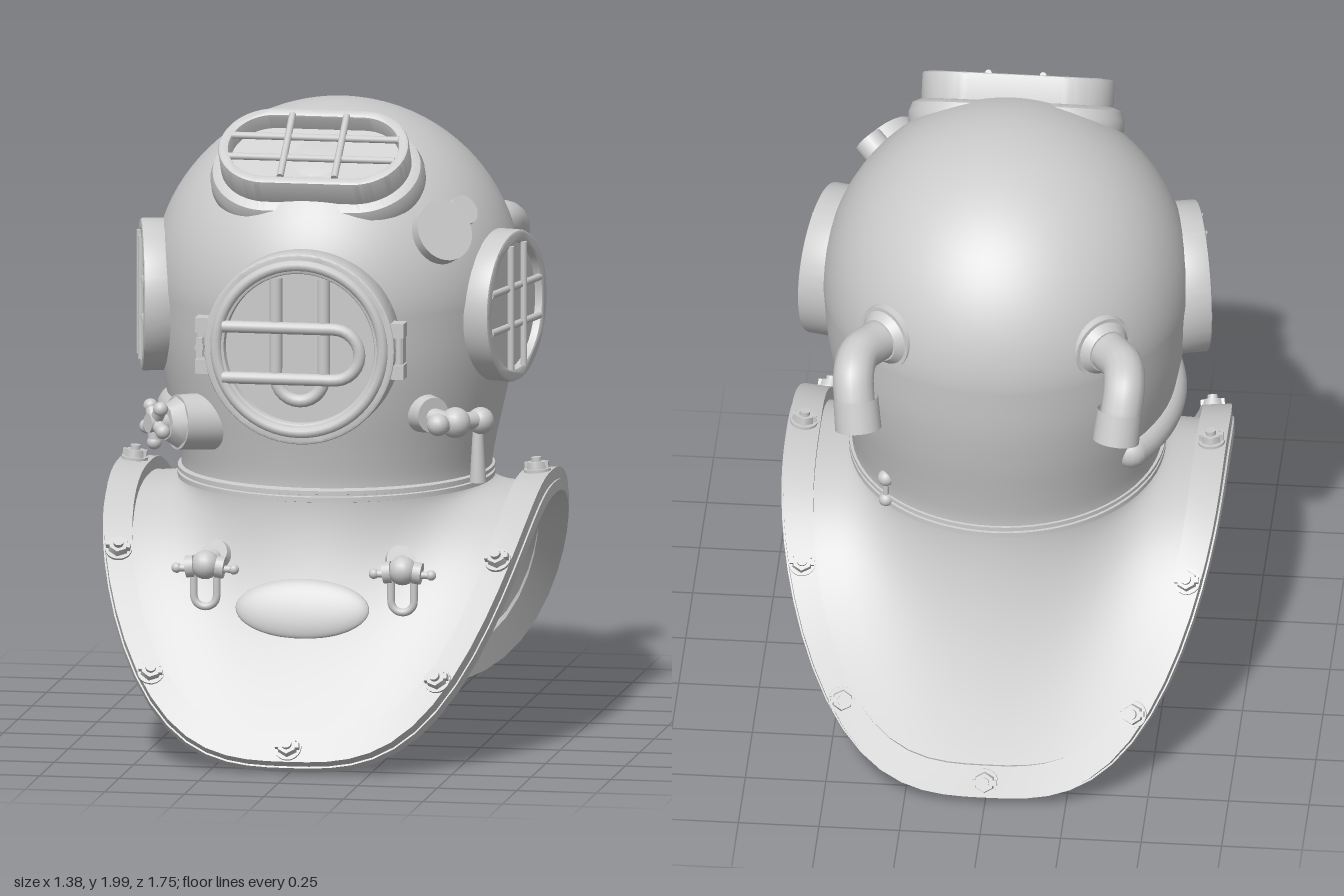
import * as THREE from 'three';
import { toCreasedNormals } from 'three/addons/utils/BufferGeometryUtils.js';
import { ParametricGeometry } from 'three/addons/geometries/ParametricGeometry.js';

const V = (x, y, z) => new THREE.Vector3(x, y, z);
const Y = V(0, 1, 0), Z = V(0, 0, 1);
const solid = new THREE.MeshStandardMaterial({ color: 0xcccccc });
const shell = new THREE.MeshStandardMaterial({ color: 0xcccccc, side: THREE.DoubleSide });

function add(parent, name, geo, pos = V(0, 0, 0), mat = solid) {
  const m = new THREE.Mesh(geo, mat);
  m.name = name;
  m.position.copy(pos);
  parent.add(m);
  return m;
}
function group(parent, name, pos = V(0, 0, 0), from = Y, to = from) {
  const g = new THREE.Group();
  g.name = name;
  g.position.copy(pos);
  g.quaternion.setFromUnitVectors(from, to.clone().normalize());
  parent.add(g);
  return g;
}
// Round bar between two points
function rod(parent, name, a, b, r0, r1 = r0, sides = 20) {
  const m = add(parent, name, new THREE.CylinderGeometry(r1, r0, a.distanceTo(b), sides), a.clone().lerp(b, 0.5));
  m.quaternion.setFromUnitVectors(Y, b.clone().sub(a).normalize());
  return m;
}
const ball = (parent, name, p, r) => add(parent, name, new THREE.SphereGeometry(r, 18, 12), p);
const tube = (parent, name, pts, r, mat = solid) =>
  add(parent, name, new THREE.TubeGeometry(new THREE.CatmullRomCurve3(pts), 48, r, 16), V(0, 0, 0), mat);

// Shoulder plate: each section bends from the neck ellipse out to the saddle-shaped rim
function plate(phi, t) {
  const c = Math.cos(phi), s = Math.sin(phi), n = 3.05;
  const rho = ((Math.abs(c) / 0.67) ** n + (Math.abs(s) / 0.81) ** n) ** (-1 / n);
  const yr = 0.8 - 0.76 * (Math.abs(rho * s) / 0.81) ** 2.35;
  const neck = V(0.48 * c, 0.82, 0.51 * s - 0.01);
  const bend = V(neck.x, 0.79 - 0.3 * (0.82 - yr), neck.z);
  return new THREE.QuadraticBezierCurve3(neck, bend, V(rho * c, yr, rho * s)).getPoint(t);
}
// Point, downhill direction and outward normal on the plate
function frame(phi, t) {
  const p = plate(phi, t), e = 0.01;
  const d = plate(phi, t).sub(plate(phi, t - 0.04)).normalize();
  const along = plate(phi + e, t).sub(plate(phi - e, t)).normalize();
  return { p, d, n: along.cross(d).normalize() };
}

// Circle (hx = 0) or stadium outline
function oblong(hx, r, Kind = THREE.Shape) {
  const s = new Kind();
  s.absarc(hx, 0, r, -Math.PI / 2, Math.PI / 2, false);
  s.absarc(-hx, 0, r, Math.PI / 2, Math.PI * 1.5, false);
  return s;
}
function slab(shape, depth, bevel, bevelDepth = bevel) {
  const g = new THREE.ExtrudeGeometry(shape, {
    depth, curveSegments: 28, bevelEnabled: bevel > 0, bevelSize: bevel,
    bevelThickness: bevelDepth, bevelOffset: -bevel, bevelSegments: 2,
  });
  return toCreasedNormals(g, 0.6);
}
// Port facing local +z, with its front face at z = 0
function port(parent, name, pos, dir, hx, r, hole, depth, glassZ) {
  const g = group(parent, name, pos, Z, dir);
  const ring = oblong(hx, r);
  ring.holes.push(oblong(hx, hole, THREE.Path));
  add(g, 'portFrame', slab(ring, depth - 0.016, 0.008), V(0, 0, -depth + 0.008));
  add(g, 'portGlass', slab(oblong(hx, hole + 0.01), 0.02, 0), V(0, 0, glassZ - 0.02));
  return g;
}
function guardBars(g, hx, hole, ox, oy) {
  for (const s of [-1, 1]) {
    const l = hx + Math.sqrt(hole ** 2 - oy ** 2), h = Math.sqrt(hole ** 2 - Math.max(0, ox - hx) ** 2);
    rod(g, 'guardBar', V(-l, s * oy, -0.008), V(l, s * oy, -0.008), 0.011, 0.011, 10);
    rod(g, 'guardBar', V(s * ox, -h, 0), V(s * ox, h, 0), 0.011, 0.011, 10);
  }
}
// U-shaped loop opening toward -x
function uLoop(w, x0, x1, z) {
  const pts = [0, 0.3, 0.6, 0.9].map(k => V(x0 + (x1 - x0) * k, w, z));
  for (let i = 0; i <= 8; i++) {
    const a = Math.PI / 2 - i * Math.PI / 8;
    pts.push(V(x1 + w * Math.cos(a), w * Math.sin(a), z));
  }
  return pts.concat([0.9, 0.6, 0.3, 0].map(k => V(x0 + (x1 - x0) * k, -w, z)));
}

export function createModel() {
  const model = new THREE.Group();
  model.name = 'divingHelmet';

  // Bonnet: curved lower wall under an elliptical crown
  const profile = new THREE.SplineCurve([[0.84, 0.81], [0.845, 0.87], [0.875, 0.96], [0.93, 1.1], [0.975, 1.25], [1, 1.42]]
    .map(p => new THREE.Vector2(...p))).getPoints(24);
  for (let i = 1; i <= 24; i++) {
    const a = i * Math.PI / 48;
    profile.push(new THREE.Vector2(Math.max(0, Math.cos(a)), 1.42 + 0.565 * Math.sin(a)));
  }
  add(model, 'bonnet', new THREE.LatheGeometry(profile, 72).scale(0.57, 1, 0.61), V(0, 0, -0.02), shell);

  // Neck ring
  const step = [[0.96, 0.805], [1.01, 0.81], [1.01, 0.825], [0.99, 0.827], [0.99, 0.832], [1.01, 0.834], [1.01, 0.845], [0.96, 0.85]];
  add(model, 'neckRing', toCreasedNormals(new THREE.LatheGeometry(step.map(p => new THREE.Vector2(...p)), 72), 0.5)
    .scale(0.485, 1, 0.525), V(0, 0, -0.01), shell);

  // Shoulder plate
  add(model, 'shoulderPlate', new ParametricGeometry((u, v, o) => o.copy(plate(u * Math.PI * 2, v)), 96, 20), V(0, 0, 0), shell);

  // Two-layer clamping rim swept round the plate edge
  const section = [[-0.085, -0.03], [0.018, -0.03], [0.018, 0.004], [0.012, 0.004], [0.012, 0.042], [-0.085, 0.042], [-0.085, -0.03]];
  const rim = new ParametricGeometry((u, v, o) => {
    const { p, d, n } = frame(u * Math.PI * 2, 1), [a, b] = section[Math.round(v * 6)];
    o.copy(p).addScaledVector(d, a).addScaledVector(n, b);
  }, 80, 6);
  add(model, 'clampRim', toCreasedNormals(rim, 0.5), V(0, 0, 0), shell);

  // Rim bolts with wing nuts
  for (const deg of [0, 36.6, 56.3, 90, 123.7, 143.4, 180, 216.6, 236.3, 270, 303.7, 323.4]) {
    const { p, d, n } = frame(deg * Math.PI / 180, 1);
    const b = group(model, 'rimBolt', p.addScaledVector(d, -0.034).addScaledVector(n, 0.036), Y, n);
    rod(b, 'washer', V(0, 0, 0), V(0, 0.014, 0), 0.042);
    rod(b, 'nut', V(0, 0.01, 0), V(0, 0.036, 0), 0.034, 0.03, 6);
    rod(b, 'stud', V(0, 0.03, 0), V(0, 0.05, 0), 0.016);
    add(b, 'nutWing', new THREE.BoxGeometry(0.075, 0.02, 0.018), V(0, 0.026, 0));
  }

  // Raised oval on the chest
  const chest = frame(Math.PI / 2, 0.51);
  const oval = group(model, 'chestOval', chest.p, Z, chest.n);
  add(oval, 'oval', new THREE.SphereGeometry(1, 40, 20).scale(0.21, 0.095, 0.028));

  // Front port with hinge, latch and crossed guard loops
  const front = port(model, 'frontPort', V(0, 1.31, 0.64), Z, 0, 0.3, 0.235, 0.12, -0.03);
  add(front, 'doorRing', new THREE.TorusGeometry(0.262, 0.018, 10, 64), V(0, 0, -0.004));
  const upright = group(front, 'uprightGuard');
  upright.rotation.z = -Math.PI / 2;
  tube(upright, 'guardLoop', uLoop(0.075, -0.22, 0.09, -0.014), 0.02);
  tube(front, 'guardLoop', uLoop(0.08, -0.24, 0.11, 0).map(p => p.add(V(0, -0.015, 0))), 0.019);
  for (const s of [-1, 1]) {
    add(front, 'doorLug', new THREE.BoxGeometry(0.05, 0.15, 0.05), V(s * 0.298, 0, -0.05));
    for (const k of [-1, 1]) add(front, 'lugEar', new THREE.BoxGeometry(0.06, 0.045, 0.06), V(s * 0.298, k * 0.065, -0.035));
  }
  rod(front, 'hingePin', V(0.31, -0.08, -0.03), V(0.31, 0.08, -0.03), 0.012);
  rod(front, 'latchBolt', V(-0.31, 0, -0.05), V(-0.31, 0, 0.025), 0.014);
  add(front, 'latchWing', new THREE.BoxGeometry(0.02, 0.06, 0.016), V(-0.31, 0, 0.012));

  // Side ports
  for (const s of [-1, 1]) {
    const p = port(model, 'sidePort', V(s * 0.592, 1.377, 0.12), V(s * 0.975, 0, 0.225), 0, 0.236, 0.197, 0.1, -0.025);
    guardBars(p, 0, 0.2, 0.05, 0.06);
  }

  // Upper port on its flared seat
  const top = port(model, 'upperPort', V(0, 1.905, 0.39), V(0, 0.81, 0.585), 0.135, 0.163, 0.13, 0.13, -0.058);
  guardBars(top, 0.135, 0.135, 0.085, 0.045);
  add(top, 'portSeat', slab(oblong(0.135, 0.2), 0.03, 0.035, 0.04), V(0, 0, -0.155));

  // Rear elbows
  for (const s of [-1, 1]) {
    const e = group(model, 'rearElbow');
    const root = V(s * 0.31, 1.505, -0.46), out = V(s * 0.62, 0.05, -0.78).normalize();
    const at = k => root.clone().addScaledVector(out, k);
    rod(e, 'flange', at(0.0), at(0.05), 0.108, 0.1, 32);
    rod(e, 'collar', at(0.05), at(0.075), 0.088, 0.068, 32);
    tube(e, 'pipe', [at(0), at(0.1), V(s * 0.41, 1.515, -0.61), V(s * 0.42, 1.49, -0.68),
      V(s * 0.415, 1.43, -0.72), V(s * 0.405, 1.37, -0.738)], 0.064, shell);
    const a = V(s * 0.41, 1.425, -0.72), b = V(s * 0.4, 1.335, -0.746);
    const sleeve = add(e, 'sleeve', new THREE.CylinderGeometry(0.072, 0.07, 0.1, 24, 1, true), a.clone().lerp(b, 0.5), shell);
    sleeve.quaternion.setFromUnitVectors(Y, b.sub(a).normalize());
  }

  // Round spit valve cover
  const cover = group(model, 'spitValve', V(0.37, 1.625, 0.34), Y, V(0.58, 0.38, 0.65));
  rod(cover, 'cover', V(0, -0.04, 0), V(0, 0.07, 0), 0.096, 0.096, 36);
  rod(model, 'coverStem', V(0.4, 1.66, 0.25), V(0.46, 1.705, 0.295), 0.048);

  // Exhaust valve with star handle and the channel running round the side
  const ex = group(model, 'exhaustValve', V(-0.34, 1.03, 0.38), Y, V(-0.75, 0.04, 0.55));
  rod(ex, 'valveBody', V(0, -0.04, 0), V(0, 0.1, 0), 0.09, 0.085, 32);
  rod(ex, 'valveBonnet', V(0, 0.1, 0), V(0, 0.14, 0), 0.08, 0.055, 8);
  rod(ex, 'valveStem', V(0, 0.12, 0), V(0, 0.2, 0), 0.03);
  for (let i = 0; i < 5; i++) {
    const a = i * Math.PI * 0.4, tip = V(0.06 * Math.cos(a), 0.175, 0.06 * Math.sin(a));
    rod(ex, 'handleSpoke', V(0, 0.175, 0), tip, 0.02);
    ball(ex, 'handleTip', tip, 0.023);
  }
  const channel = [];
  for (let i = 0; i <= 8; i++) {
    const a = (135 + i * 10) * Math.PI / 180;
    channel.push(V(0.5 * Math.cos(a), 1.03 - 0.002 * i, 0.53 * Math.sin(a) - 0.02));
  }
  tube(model, 'exhaustChannel', channel, 0.056);
  ball(model, 'channelEnd', channel[8], 0.056);

  // Air cock with hanging lever
  const cock = group(model, 'airCock');
  rod(cock, 'flange', V(0.345, 1.08, 0.39), V(0.385, 1.08, 0.435), 0.062, 0.055, 28);
  rod(cock, 'neck', V(0.37, 1.075, 0.42), V(0.45, 1.06, 0.46), 0.03);
  rod(cock, 'barrel', V(0.41, 1.06, 0.49), V(0.525, 1.06, 0.36), 0.027);
  ball(cock, 'body', V(0.455, 1.06, 0.44), 0.048);
  ball(cock, 'barrelEnd', V(0.41, 1.06, 0.49), 0.035);
  ball(cock, 'leverHub', V(0.52, 1.055, 0.36), 0.042);
  rod(cock, 'lever', V(0.51, 1.05, 0.35), V(0.51, 0.86, 0.35), 0.015, 0.026);

  // Locking stud on the neck ring
  for (const [y, r] of [[0.91, 0.026], [0.83, 0.022]]) ball(model, 'lockStud', V(0.345, y, -0.39), r);
  rod(model, 'lockPin', V(0.345, 0.83, -0.39), V(0.345, 0.91, -0.39), 0.009);

  // Chest eyelets: spool on a boss with a hanging loop
  for (const s of [-1, 1]) {
    const e = group(model, 'chestEyelet');
    const { p, n } = frame(Math.PI / 2 - s * 0.56, 0.4), c = V(s * 0.31, 0.61, 0.555);
    rod(e, 'boss', p.clone().addScaledVector(n, -0.03), p.clone().addScaledVector(n, 0.025), 0.05, 0.045, 28);
    rod(e, 'post', p, c, 0.026);
    ball(e, 'knob', c, 0.045);
    rod(e, 'axle', c.clone().add(V(-0.09, -0.012, 0)), c.clone().add(V(0.09, -0.012, 0)), 0.011);
    for (const k of [-1, 1]) {
      rod(e, 'spool', c.clone().add(V(k * 0.035, -0.005, 0)), c.clone().add(V(k * 0.06, -0.008, 0)), 0.034);
      ball(e, 'axleEnd', c.clone().add(V(k * 0.09, -0.012, 0)), 0.016);
    }
    const hang = group(e, 'hangingLoop', c.clone().add(V(0, -0.02, 0)));
    hang.rotation.z = -Math.PI / 2;
    tube(hang, 'loop', uLoop(0.036, -0.01, 0.075, 0), 0.012);
  }
  return model;
}
